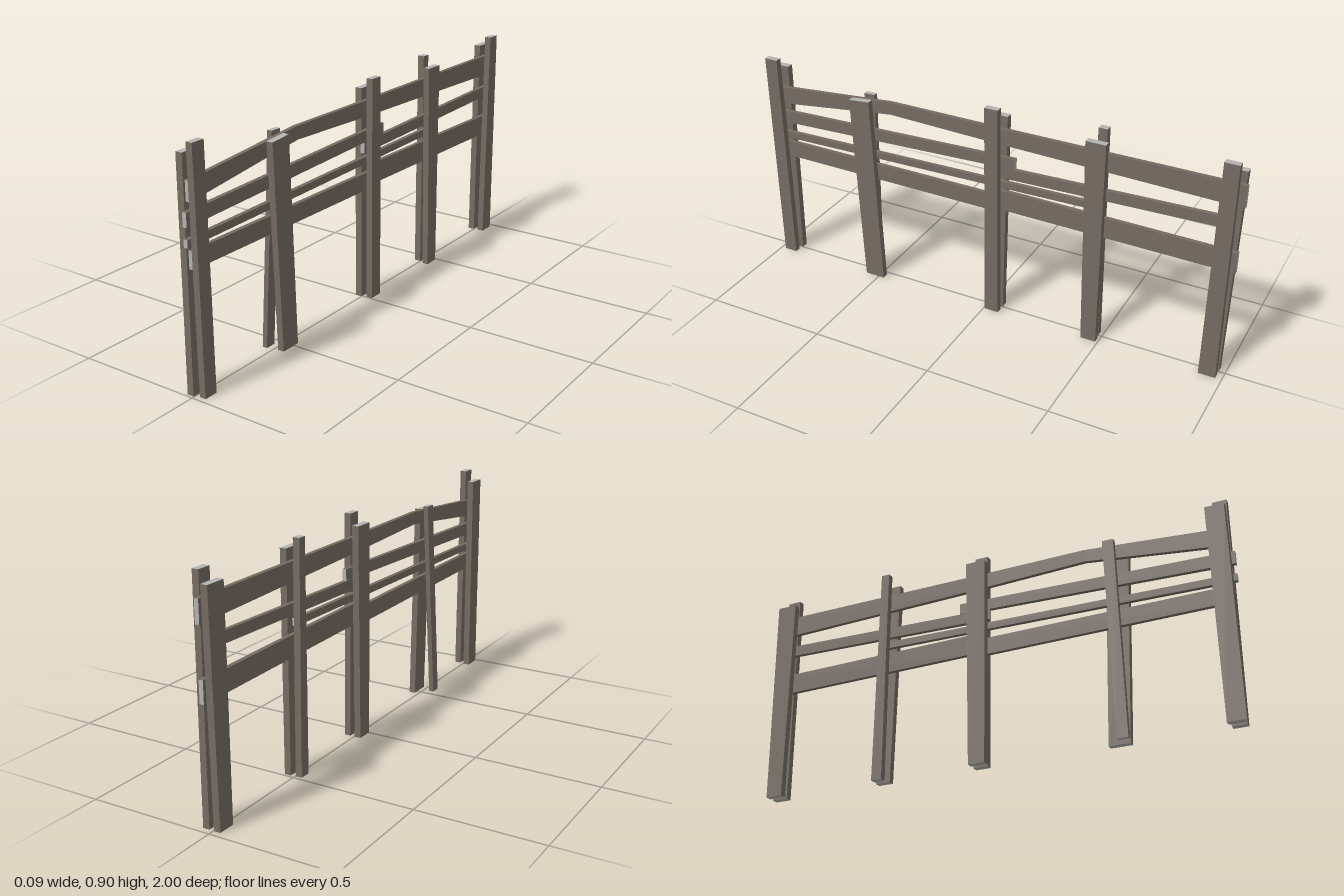
import * as THREE from 'three';

const wood = new THREE.MeshStandardMaterial({ color: 0x766b62 });
wood.name = 'weatheredWood';
const endGrain = new THREE.MeshStandardMaterial({ color: 0xb2b2b0 });
endGrain.name = 'paleEndGrain';

// Straight-edged plank through four-cornered rings; sides are wood, both ends pale
function plank(name, rings) {
  const pos = [];
  const quad = (a, b, c, d) => [a, b, c, a, c, d].forEach((p) => pos.push(...p));
  for (let s = 0; s < rings.length - 1; s++) {
    const r = rings[s], q = rings[s + 1];
    for (let i = 0; i < 4; i++) {
      const j = (i + 1) % 4;
      quad(r[i], r[j], q[j], q[i]);
    }
  }
  const sideCount = pos.length / 3;
  const first = rings[0], last = rings[rings.length - 1];
  quad(first[3], first[2], first[1], first[0]);
  quad(...last);
  const geo = new THREE.BufferGeometry();
  geo.setAttribute('position', new THREE.Float32BufferAttribute(pos, 3));
  geo.addGroup(0, sideCount, 0);
  geo.addGroup(sideCount, 12, 1);
  geo.computeVertexNormals();
  const mesh = new THREE.Mesh(geo, [wood, endGrain]);
  mesh.name = name;
  return mesh;
}

// Upright: foot and head are [x0, x1, z0, z1]; tilt raises the back edge of the head
function post(name, height, foot, head, tilt = 0) {
  const ring = ([x0, x1, z0, z1], yFront, yBack) => [
    [x0, yFront, z1], [x1, yFront, z1], [x1, yBack, z0], [x0, yBack, z0],
  ];
  return plank(name, [ring(foot, 0, 0), ring(head, height - tilt, height)]);
}

// Rail: stations [z, bottom, top] listed from back to front
function rail(name, stations) {
  const x0 = 0, x1 = 0.017;
  return plank(name, stations.map(([z, y0, y1]) => [
    [x0, y0, z], [x1, y0, z], [x1, y1, z], [x0, y1, z],
  ]));
}

export function createModel() {
  const group = new THREE.Group();
  group.name = 'fence';
  const L = [0.017, 0.043], R = [-0.029, -0.002];

  // Posts in pairs, one on each side of the rails
  group.add(
    post('leftPost1', 0.9, [...L, 0.925, 0.98], [...L, 0.93, 0.985]),
    post('rightPost1', 0.86, [...R, 0.92, 0.99], [...R, 0.91, 0.985]),
    post('leftLeaningPost', 0.81, [...L, 0.476, 0.56], [...L, 0.503, 0.593], 0.008),
    post('rightLeaningPost', 0.825, [-0.045, -0.025, 0.53, 0.573], [-0.018, 0.002, 0.5, 0.545]),
    post('leftPost3', 0.9, [...L, -0.065, -0.005], [...L, -0.06, -0.005]),
    post('rightPost3', 0.86, [...R, -0.065, 0.003], [...R, -0.08, 0.003]),
    post('leftPost4', 0.86, [...L, -0.49, -0.428], [...L, -0.49, -0.41]),
    post('rightPost4', 0.9, [...R, -0.485, -0.44], [...R, -0.475, -0.44]),
    post('leftPost5', 0.9, [...L, -0.975, -0.908], [...L, -0.972, -0.915]),
    post('rightPost5', 0.86, [...R, -0.975, -0.905], [...R, -0.99, -0.905]),
  );

  // Rails sandwiched between the posts
  group.add(
    rail('topRail', [[-1, 0.728, 0.815], [-0.04, 0.75, 0.814], [0.42, 0.765, 0.816], [0.98, 0.696, 0.77]]),
    rail('upperRailFront', [[-0.12, 0.655, 0.7], [1, 0.615, 0.667]]),
    rail('upperRailBack', [[-0.96, 0.632, 0.677], [0.01, 0.606, 0.65]]),
    rail('thinRail', [[-0.46, 0.572, 0.6], [1, 0.545, 0.574]]),
    rail('bottomRailFront', [[-0.03, 0.455, 0.525], [0.98, 0.463, 0.53]]),
    rail('bottomRailBack', [[-0.995, 0.458, 0.542], [-0.031, 0.468, 0.552]]),
  );
  return group;
}
